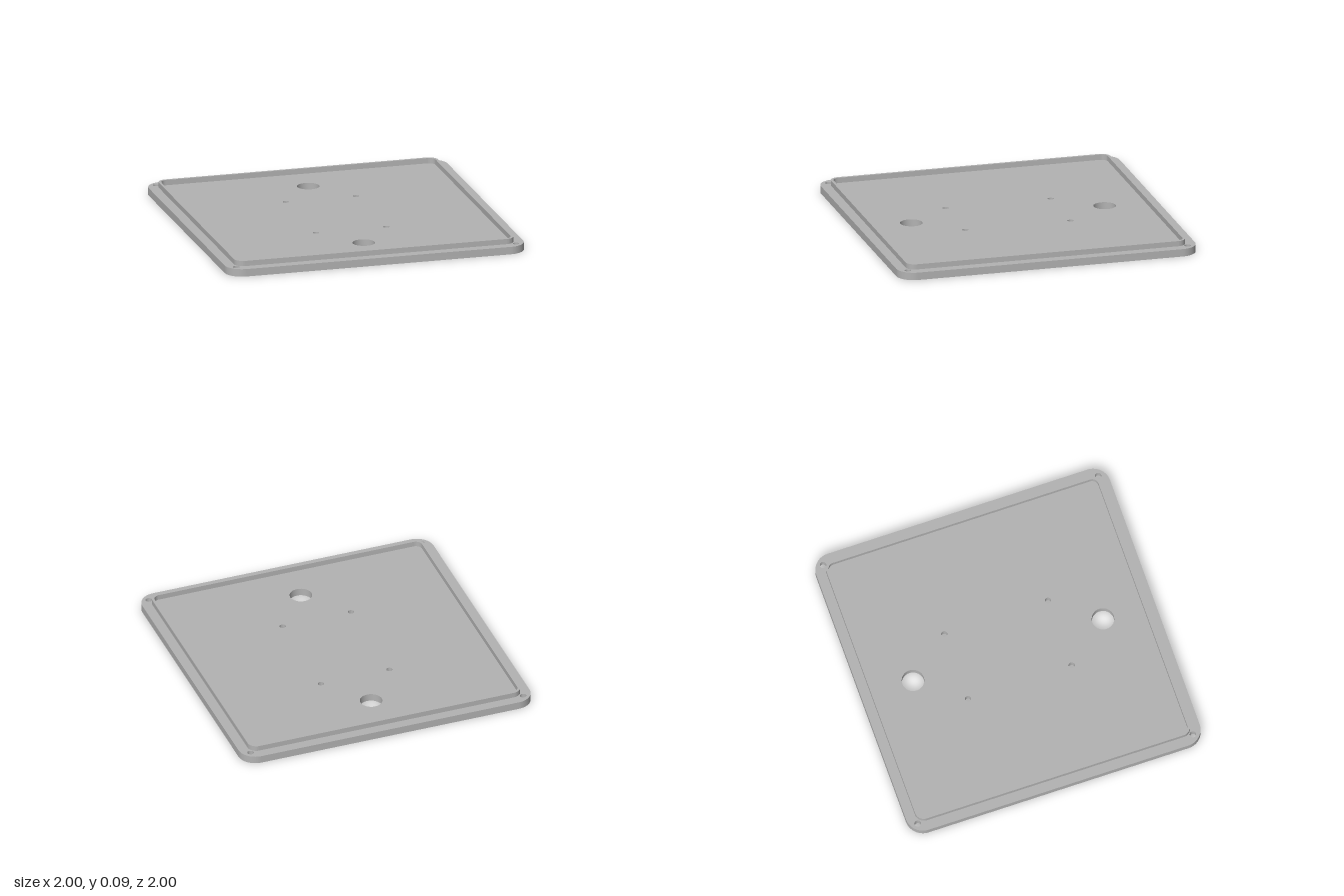
import * as THREE from 'three';
import { toCreasedNormals } from 'three/addons/utils/BufferGeometryUtils.js';

// Square outline with rounded corners, centred on the origin
function roundedSquare(half, r, Type = THREE.Shape) {
  const s = new Type();
  const c = half - r;
  s.moveTo(c, -half);
  s.absarc(c, -c, r, -Math.PI / 2, 0);
  s.absarc(c, c, r, 0, Math.PI / 2);
  s.absarc(-c, c, r, Math.PI / 2, Math.PI);
  s.absarc(-c, -c, r, Math.PI, Math.PI * 1.5);
  s.closePath();
  return s;
}

function roundHole(x, z, r) {
  const hole = new THREE.Path();
  hole.absarc(x, -z, r, 0, Math.PI * 2, true);
  return hole;
}

// Extrude a plan shape upwards from height y
function slab(name, shape, y, height, material) {
  let geometry = new THREE.ExtrudeGeometry(shape, { depth: height, bevelEnabled: false, curveSegments: 16 });
  geometry.rotateX(-Math.PI / 2);
  geometry.translate(0, y, 0);
  geometry = toCreasedNormals(geometry, Math.PI / 6);
  const mesh = new THREE.Mesh(geometry, material);
  mesh.name = name;
  return mesh;
}

export function createModel() {
  const group = new THREE.Group();
  group.name = 'coverPlate';
  const grey = new THREE.MeshStandardMaterial({ color: 0xb3b3b3 });
  grey.name = 'grey';

  const baseHeight = 0.05;
  const rimHeight = 0.035;

  // Base plate with corner screw holes, mounting holes and two cable holes
  const base = roundedSquare(1, 0.115);
  for (const sz of [-1, 1]) {
    for (const sx of [-1, 1]) {
      base.holes.push(roundHole(sx * 0.937, sz * 0.937, 0.021));
      base.holes.push(roundHole(sx * 0.235, sz * 0.353, 0.02));
    }
    base.holes.push(roundHole(0, sz * 0.647, 0.073));
  }
  group.add(slab('basePlate', base, 0, baseHeight, grey));

  // Thin raised locating rim
  const rim = roundedSquare(0.935, 0.06);
  rim.holes.push(roundedSquare(0.918, 0.043, THREE.Path));
  group.add(slab('locatingRim', rim, baseHeight, rimHeight, grey));

  return group;
}
